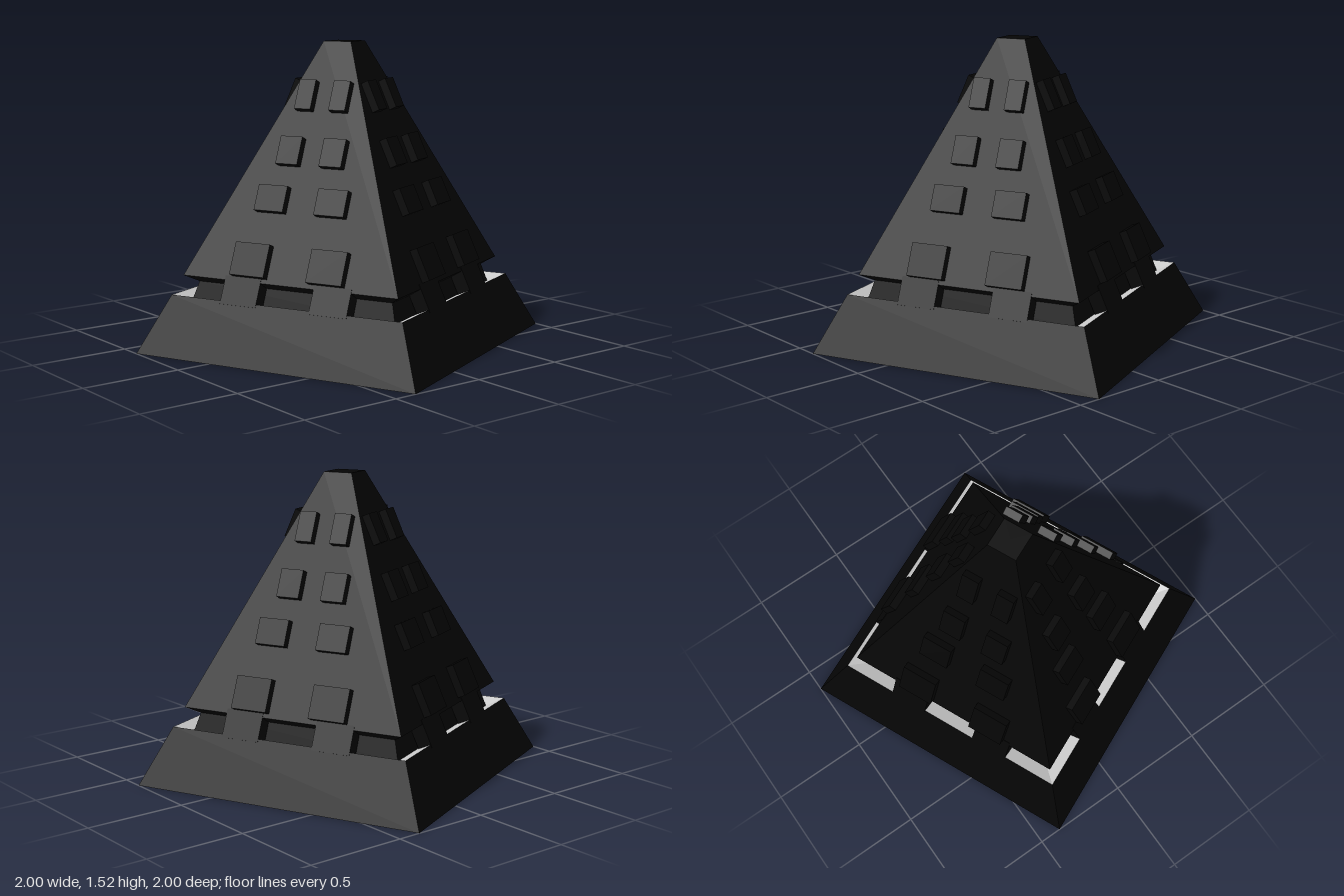
import * as THREE from 'three';

const HEIGHT = 1.52, CORNER = 1.071, SHRINK = 0.592;
const HALF = CORNER / Math.SQRT2;
const TILT = Math.atan(HALF * SHRINK);
const scaleAt = (y) => 1 - SHRINK * y;

const dark = new THREE.MeshStandardMaterial({ color: 0x050505, flatShading: true, side: THREE.DoubleSide });
const light = new THREE.MeshStandardMaterial({ color: 0xcccccc, flatShading: true, side: THREE.DoubleSide });

// Four-sided solid of revolution; profile is [scale of base corner, height]
function foursided(name, profile, material) {
  const pts = profile.map(([s, y]) => new THREE.Vector2(s * CORNER, y));
  const mesh = new THREE.Mesh(new THREE.LatheGeometry(pts, 4), material);
  mesh.name = name;
  return mesh;
}

// Block lying on a sloped face: u along the face, y0..y1 in height
function block(name, u, y0, y1, width, proud, depth) {
  const y = (y0 + y1) / 2;
  const length = (y1 - y0) / Math.cos(TILT);
  const geo = new THREE.BoxGeometry(width, length, depth);
  geo.translate(0, 0, proud - depth / 2);
  const mesh = new THREE.Mesh(geo, dark);
  mesh.name = name;
  mesh.position.set(u, y, HALF * scaleAt(y));
  mesh.rotation.x = -TILT;
  return mesh;
}

// Courses of raised bricks: bottom, top, distance from face centre, width
const COURSES = [
  [0.40, 0.55, 0.21, 0.19],
  [0.70, 0.82, 0.165, 0.16],
  [0.92, 1.05, 0.12, 0.12],
  [1.18, 1.32, 0.095, 0.09],
];

export function createModel() {
  const model = new THREE.Group();
  model.name = 'pyramid';
  const body = new THREE.Group();
  body.name = 'body';
  body.rotation.y = Math.atan2(-0.385, 1);
  model.add(body);

  // Plinth, its inward sloping ledge, and the body above the groove
  const rim = scaleAt(0.285);
  body.add(
    foursided('plinth', [[0, 0], [1, 0], [rim, 0.285]], dark),
    foursided('ledge', [[rim, 0.285], [0.735, 0.252]], light),
    foursided('upperBody', [
      [0.735, 0.252], [0.70, 0.345], [scaleAt(0.38), 0.38],
      [scaleAt(HEIGHT), HEIGHT], [0, HEIGHT],
    ], dark),
  );

  for (let k = 0; k < 4; k++) {
    const face = new THREE.Group();
    face.name = 'face';
    face.rotation.y = Math.PI / 4 + k * Math.PI / 2;
    for (const side of [-1, 1]) {
      // Flush blocks bridging the groove
      face.add(block('grooveBridge', side * 0.245, 0.27, 0.40, 0.2, 0.002, 0.07));
      // Raised bricks
      for (const [y0, y1, u, w] of COURSES) {
        face.add(block('raisedBrick', side * u, y0, y1, w, 0.04, 0.07));
      }
    }
    body.add(face);
  }
  return model;
}
